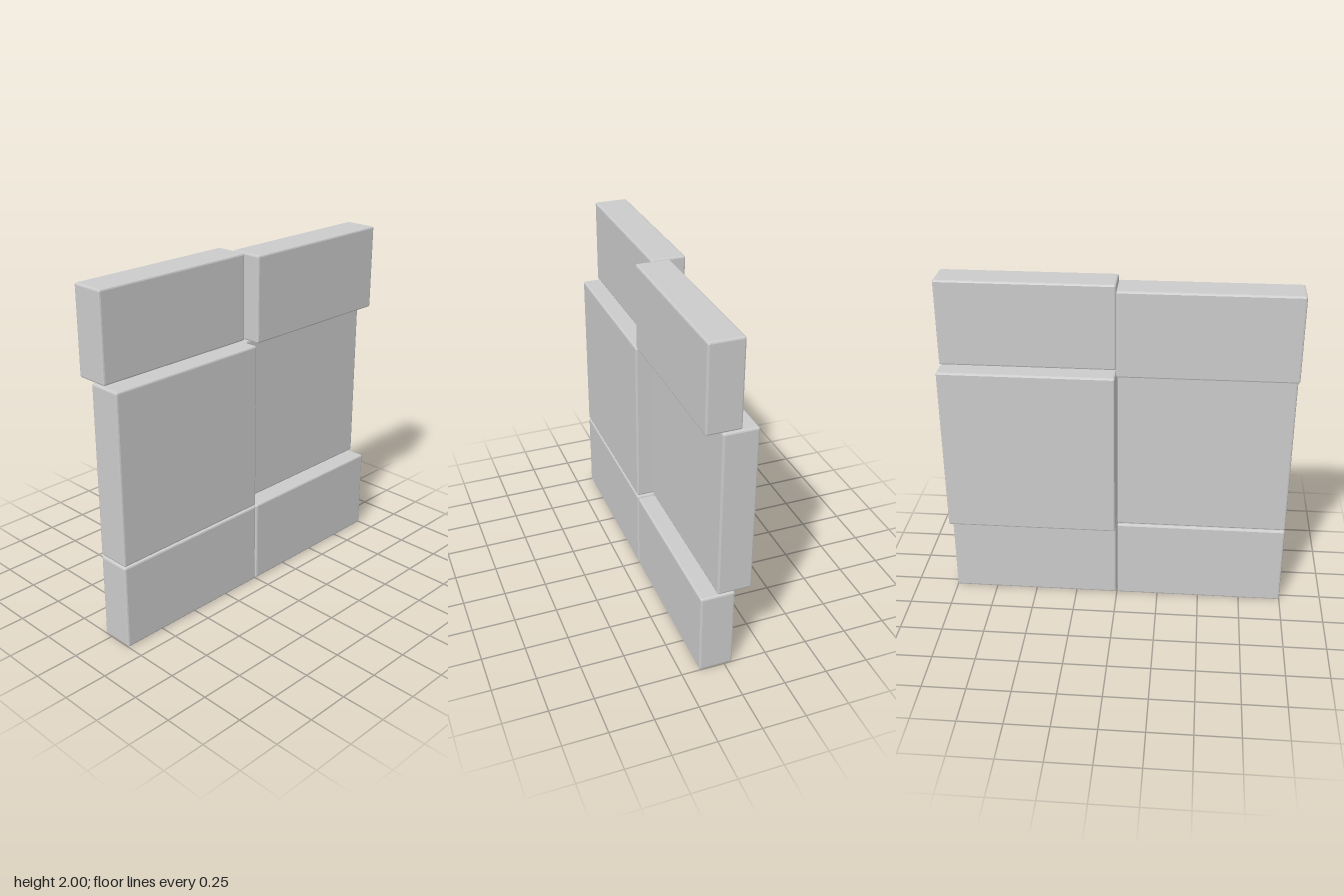
import * as THREE from 'three';
import { RoundedBoxGeometry } from 'three/addons/geometries/RoundedBoxGeometry.js';

const BEVEL = 0.01;
const GAP = 0.004; // half of the joint between blocks
const DEPTH = 0.196;
const FRONT = 0.147; // front face of the proud blocks
const RECESSED = 0.053; // front face of the set-back blocks

export function createModel() {
  const group = new THREE.Group();
  group.name = 'blockWall';
  const material = new THREE.MeshStandardMaterial({ color: 0xcccccc, flatShading: true });

  // one bevelled block filling a cell of the wall
  function addBlock(name, side, y0, y1, front) {
    const width = 1 - GAP;
    const block = new THREE.Mesh(new RoundedBoxGeometry(width, y1 - y0, DEPTH, 1, BEVEL), material);
    block.name = name;
    block.position.set(side * (GAP + width / 2), (y0 + y1) / 2, front - DEPTH / 2);
    group.add(block);
  }

  // courses from bottom to top, with the front plane of the right (-x) and left (+x) block
  const courses = [
    ['bottom', 0, 0.5 - GAP, FRONT, FRONT],
    ['middle', 0.5 + GAP, 1.5 - GAP, FRONT, RECESSED],
    ['top', 1.5 + GAP, 2, RECESSED, FRONT],
  ];
  for (const [name, y0, y1, rightFront, leftFront] of courses) {
    addBlock(name + 'RightBlock', -1, y0, y1, rightFront);
    addBlock(name + 'LeftBlock', 1, y0, y1, leftFront);
  }
  return group;
}
